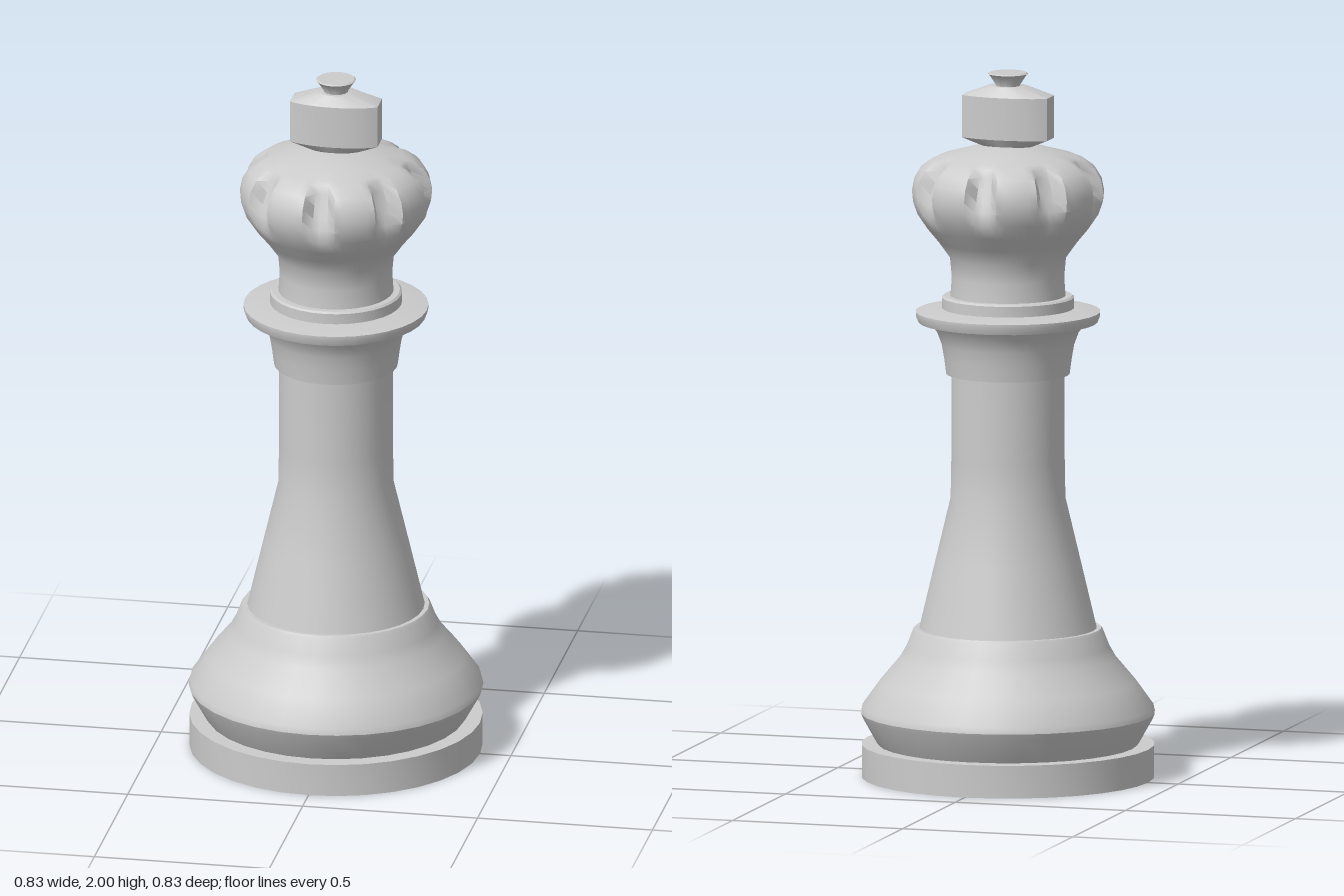
import * as THREE from 'three';
import { toCreasedNormals } from 'three/addons/utils/BufferGeometryUtils.js';

const material = new THREE.MeshStandardMaterial({ color: 0xcccccc });

// Turned profile given as [radius, height] pairs, bottom to top
const turned = (profile, sides = 32) =>
  new THREE.LatheGeometry(profile.map(([r, y]) => new THREE.Vector2(r, y)), sides);

// Move every vertex of a geometry by a rule
function reshape(geometry, rule) {
  const p = geometry.attributes.position;
  const v = new THREE.Vector3();
  for (let i = 0; i < p.count; i++) {
    rule(v.fromBufferAttribute(p, i));
    p.setXYZ(i, v.x, v.y, v.z);
  }
  return geometry;
}

export function createModel() {
  const model = new THREE.Group();
  model.name = 'chessKing';
  const add = (name, geometry, crease = 0.6) => {
    const mesh = new THREE.Mesh(toCreasedNormals(geometry, crease), material);
    mesh.name = name;
    model.add(mesh);
  };

  add('baseDisc', turned([[0, 0], [0.412, 0], [0.412, 0.093], [0, 0.093]]));

  add('baseBell', turned([
    [0.36, 0.085], [0.37, 0.1], [0.408, 0.168], [0.414, 0.182], [0.41, 0.2],
    [0.36, 0.27], [0.303, 0.338], [0.285, 0.37], [0.267, 0.416], [0.262, 0.423], [0.24, 0.423],
  ]));

  add('shaft', turned([[0.25, 0.42], [0.205, 0.61], [0.162, 0.79], [0.16, 0.9], [0.16, 1.15]]));

  // Flared collar with a thin flange and a ring on top
  add('collar', turned([
    [0.15, 1.145], [0.174, 1.145], [0.18, 1.19], [0.187, 1.23], [0.2, 1.265], [0.222, 1.292],
    [0.252, 1.292], [0.26, 1.312], [0.26, 1.322], [0.19, 1.332], [0.15, 1.332],
  ]));
  add('collarRing', turned([[0.15, 1.33], [0.186, 1.33], [0.186, 1.362], [0.18, 1.367], [0.15, 1.367]]));

  // Crown head with eight notches cut into its rim
  const crown = turned([
    [0.162, 1.36], [0.158, 1.42], [0.163, 1.475], [0.195, 1.52], [0.228, 1.56], [0.255, 1.6],
    [0.267, 1.635], [0.27, 1.665], [0.263, 1.7], [0.245, 1.73], [0.215, 1.752], [0.19, 1.762],
    [0.14, 1.776], [0.08, 1.793], [0, 1.795],
  ], 72);
  const sector = Math.PI / 4;
  reshape(crown, (v) => {
    const r = Math.hypot(v.x, v.z);
    if (r < 0.01 || v.y < 1.6) return;
    const angle = Math.atan2(v.x, v.z);
    const offset = Math.abs(angle - Math.round(angle / sector) * sector);
    const floor = 0.262 - (v.y - 1.6) * 0.4;
    if (offset < 0.1 && r > floor) {
      v.x *= floor / r;
      v.z *= floor / r;
    }
  });
  add('crownHead', crown, 0.95);

  // Cross bar: a lens in plan with flat ends, drawn in at top and bottom
  const bar = turned([[0, 1.785], [0.7, 1.785], [1, 1.815], [1, 1.935], [0.7, 1.963], [0, 1.963]]);
  reshape(bar, (v) => {
    const drawnIn = v.y < 1.8 || v.y > 1.95;
    v.x = THREE.MathUtils.clamp(v.x * (drawnIn ? 0.08 : 0.15), -0.125, 0.125);
    v.z *= 0.062;
  });
  add('crossBar', bar, 0.5);

  add('finial', turned([[0.034, 1.95], [0.034, 1.965], [0.052, 1.993], [0.056, 1.997], [0.052, 2], [0, 2]]));

  return model;
}
